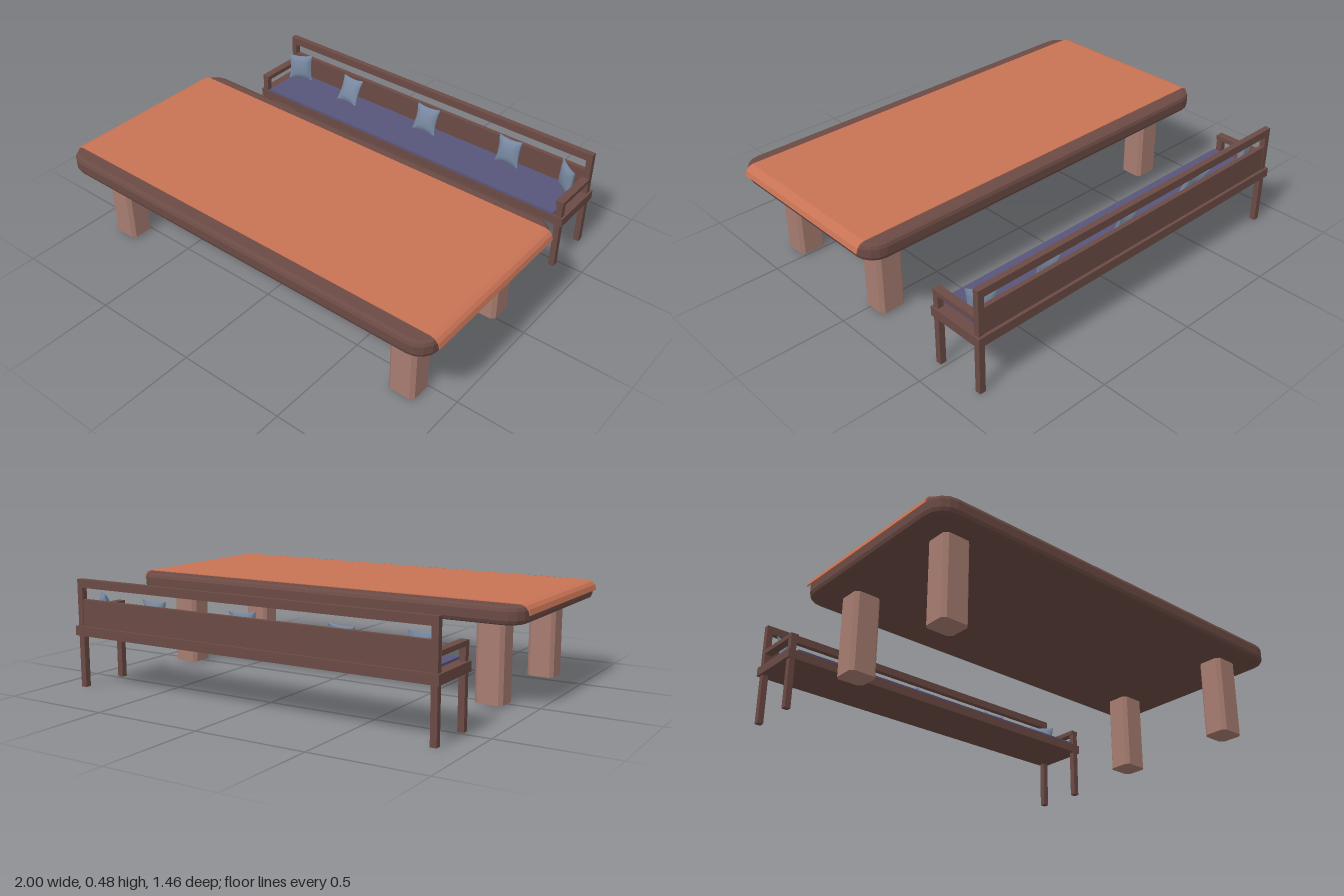
import * as THREE from 'three';

const paint = (color, extra = {}) => {
  const m = new THREE.MeshStandardMaterial({ flatShading: true, ...extra });
  m.color.set(color);
  return m;
};
const wood = paint(0x6b4a44);
const paleWood = paint(0xa67c70);
const clothRed = paint(0xc87355, { side: THREE.DoubleSide });
const seatBlue = paint(0x57557a);
const pillowBlue = paint(0x76869e, { flatShading: false });

function add(parent, name, geometry, material) {
  const mesh = new THREE.Mesh(geometry, material);
  mesh.name = name;
  parent.add(mesh);
  return mesh;
}

// Box given by its minimum and maximum along each axis
function block(parent, name, material, [x0, x1], [y0, y1], [z0, z1]) {
  const mesh = add(parent, name, new THREE.BoxGeometry(x1 - x0, y1 - y0, z1 - z0), material);
  mesh.position.set((x0 + x1) / 2, (y0 + y1) / 2, (z0 + z1) / 2);
  return mesh;
}

// Upright prism with rounded (steps > 1) or chamfered (steps = 1) corners, base on y = 0
function roundedPrism(w, d, h, r, steps, bevel = 0) {
  const a = w / 2 - bevel, b = d / 2 - bevel, points = [];
  [[1, 1], [-1, 1], [-1, -1], [1, -1]].forEach(([sx, sy], corner) => {
    for (let i = 0; i <= steps; i++) {
      const t = (corner + i / steps) * Math.PI / 2;
      points.push(new THREE.Vector2(sx * (a - r) + r * Math.cos(t), sy * (b - r) + r * Math.sin(t)));
    }
  });
  const geometry = new THREE.ExtrudeGeometry(new THREE.Shape(points), {
    depth: h - 2 * bevel, bevelEnabled: bevel > 0, bevelSize: bevel, bevelThickness: bevel, bevelSegments: 2,
  });
  return geometry.translate(0, 0, bevel).rotateX(-Math.PI / 2);
}

// Square pillow: sides pulled in, corners pointed, middle puffed
function pillowGeometry(w, h, thickness) {
  const geometry = new THREE.BoxGeometry(2, 2, 2, 10, 10, 1);
  const p = geometry.attributes.position;
  for (let i = 0; i < p.count; i++) {
    const u = p.getX(i), v = p.getY(i), s = p.getZ(i);
    const puff = Math.sqrt(Math.max(0, (1 - u * u) * (1 - v * v)));
    p.setXYZ(i,
      u * w / 2 * (1 - 0.12 * (1 - v * v)),
      v * h / 2 * (1 - 0.12 * (1 - u * u)),
      s * thickness / 2 * (0.15 + 0.85 * puff));
  }
  geometry.computeVertexNormals();
  return geometry;
}

function createTable() {
  const table = new THREE.Group();
  table.name = 'table';

  const top = add(table, 'tableTop', roundedPrism(1.97, 0.937, 0.077, 0.07, 4, 0.02), wood);
  top.position.set(0, 0.37, 0.26);

  for (const x of [-0.803, 0.803]) for (const z of [-0.032, 0.557]) {
    const leg = add(table, 'tableLeg', roundedPrism(0.126, 0.117, 0.365, 0.016, 1), paleWood);
    leg.position.set(x, 0.01, z);
  }

  // Thin runner draped over both ends
  const outer = [[0.96, 0.454], [0.98, 0.447], [0.993, 0.433], [1, 0.411]];
  const inner = outer.map(([x, y]) => [x - 0.004, y - 0.003]);
  const mirror = list => list.map(([x, y]) => [-x, y]);
  const outline = [
    ...[...outer].reverse(), ...mirror(outer),
    ...mirror(inner).reverse(), ...inner,
  ].map(([x, y]) => new THREE.Vector2(x, y));
  const runner = add(table, 'tableRunner',
    new THREE.ExtrudeGeometry(new THREE.Shape(outline), { depth: 0.805, bevelEnabled: false }), clothRed);
  runner.position.z = -0.146;
  return table;
}

function createBench() {
  const bench = new THREE.Group();
  bench.name = 'bench';
  const front = [-0.484, -0.457], back = [-0.716, -0.689];

  block(bench, 'seatFrame', wood, [-0.89, 0.89], [0.234, 0.276], [-0.727, -0.452]);
  block(bench, 'seatPad', seatBlue, [-0.84, 0.84], [0.27, 0.286], [-0.69, -0.456]);
  block(bench, 'backPanel', wood, [-0.86, 0.86], [0.27, 0.395], [-0.713, -0.692]);
  block(bench, 'topRail', wood, [-0.88, 0.88], [0.447, 0.484], back);

  for (const side of [-1, 1]) {
    const x = [side * 0.88, side * 0.852].sort((a, b) => a - b);
    block(bench, 'frontLeg', wood, x, [0, 0.24], front);
    block(bench, 'backLeg', wood, x, [0, 0.24], back);
    block(bench, 'armPost', wood, x, [0.27, 0.34], front);
    block(bench, 'backPost', wood, x, [0.27, 0.45], back);
    const arm = [side * 0.882, side * 0.845].sort((a, b) => a - b);
    block(bench, 'armrest', wood, arm, [0.336, 0.357], [-0.692, -0.457]);
  }

  // Scatter pillows: x, y, z, turn, backward lean, roll
  const pillow = pillowGeometry(0.124, 0.132, 0.045);
  [
    [-0.79, 0.352, -0.65, 0.42, -0.2, 0.03],
    [-0.447, 0.346, -0.637, -0.08, -0.5, 0.04],
    [0.017, 0.35, -0.65, 0.08, -0.33, -0.03],
    [0.478, 0.352, -0.662, -0.03, -0.2, 0.02],
    [0.795, 0.352, -0.638, -0.66, -0.06, 0],
  ].forEach(([x, y, z, turn, lean, roll]) => {
    const mesh = add(bench, 'pillow', pillow, pillowBlue);
    mesh.position.set(x, y, z);
    mesh.rotation.set(lean, turn, roll, 'YXZ');
  });
  return bench;
}

export function createModel() {
  const model = new THREE.Group();
  model.name = 'tableAndBench';
  model.add(createTable(), createBench());
  return model;
}
